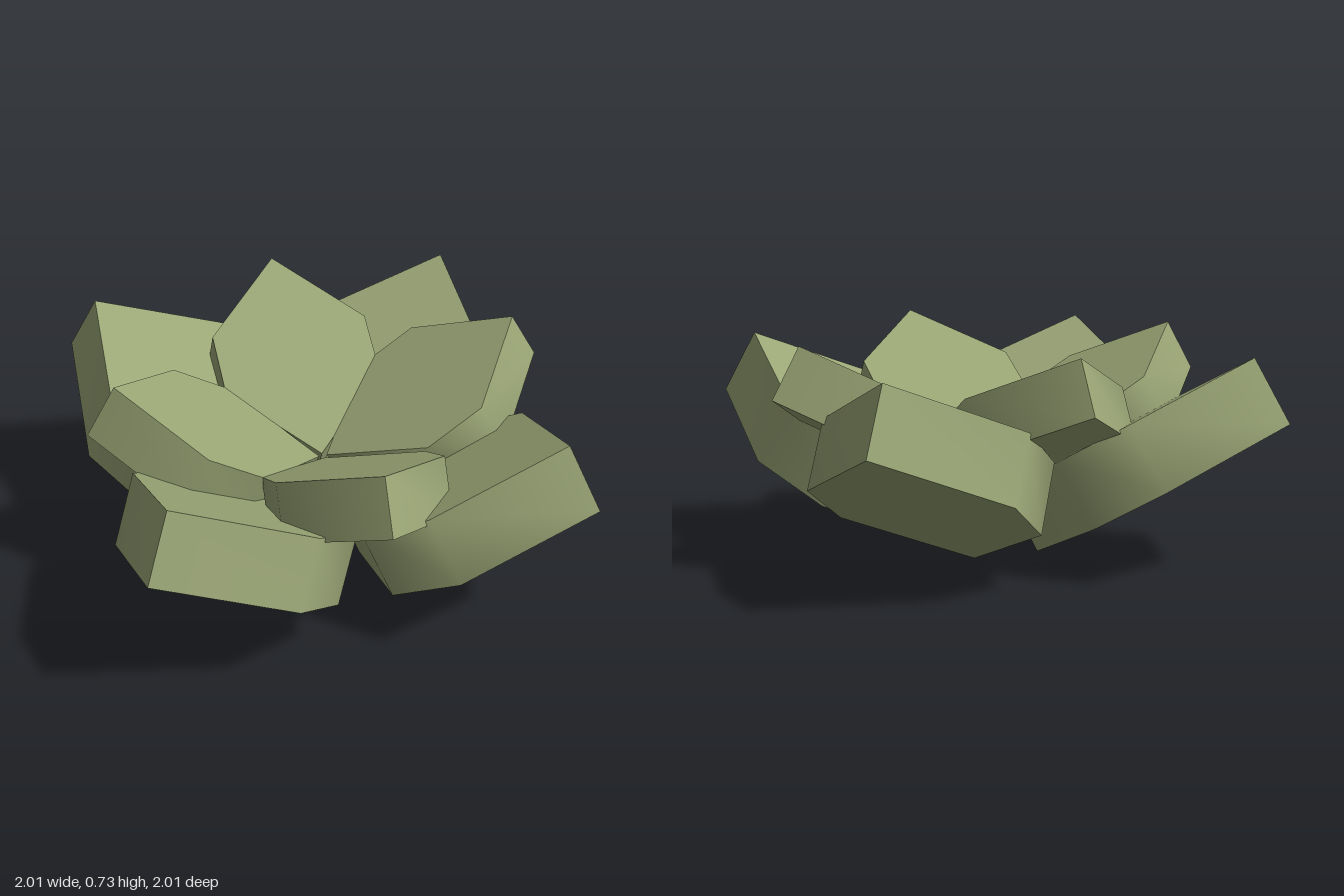
import * as THREE from 'three';
import { toCreasedNormals } from 'three/addons/utils/BufferGeometryUtils.js';

const rad = THREE.MathUtils.degToRad;

// Thick hexagonal leaf: base tip at the origin, leaning out towards +z and up
function leafGeometry(scale) {
  const outline = [[0, 0], [0.34, 0.35], [0.34, 0.62], [0, 0.97], [-0.34, 0.62], [-0.34, 0.35]];
  const shape = new THREE.Shape(outline.map(([x, y]) => new THREE.Vector2(x * scale, y * scale)));
  const depth = 0.2375 * scale;
  const geometry = new THREE.ExtrudeGeometry(shape, { depth, bevelEnabled: false });
  geometry.translate(0, 0, -depth);
  geometry.rotateX(rad(60));
  return toCreasedNormals(geometry, rad(60));
}

export function createModel() {
  const model = new THREE.Group();
  model.name = 'succulent';
  const leafGreen = new THREE.MeshStandardMaterial({ color: 0x9ba676 });
  leafGreen.name = 'leafGreen';

  // One ring of leaves, each turned to its own heading
  function addRing(name, scale, headings, radius, centre) {
    const ring = new THREE.Group();
    ring.name = name + 'Ring';
    ring.position.set(...centre);
    const geometry = leafGeometry(scale);
    headings.forEach((heading, i) => {
      const leaf = new THREE.Mesh(geometry, leafGreen);
      leaf.name = name + (i + 1);
      const angle = rad(heading);
      leaf.rotation.y = angle;
      leaf.position.set(Math.sin(angle) * radius, 0, Math.cos(angle) * radius);
      ring.add(leaf);
    });
    model.add(ring);
  }

  // Large outer leaves on the axes, smaller inner leaves on the diagonals
  addRing('outerLeaf', 1, [0, 90, 180, 270], 0.163, [0, 0, 0]);
  addRing('innerLeaf', 0.8, [45, 142, 225, 315], 0.108, [0.013, 0.181, -0.01]);

  return model;
}
